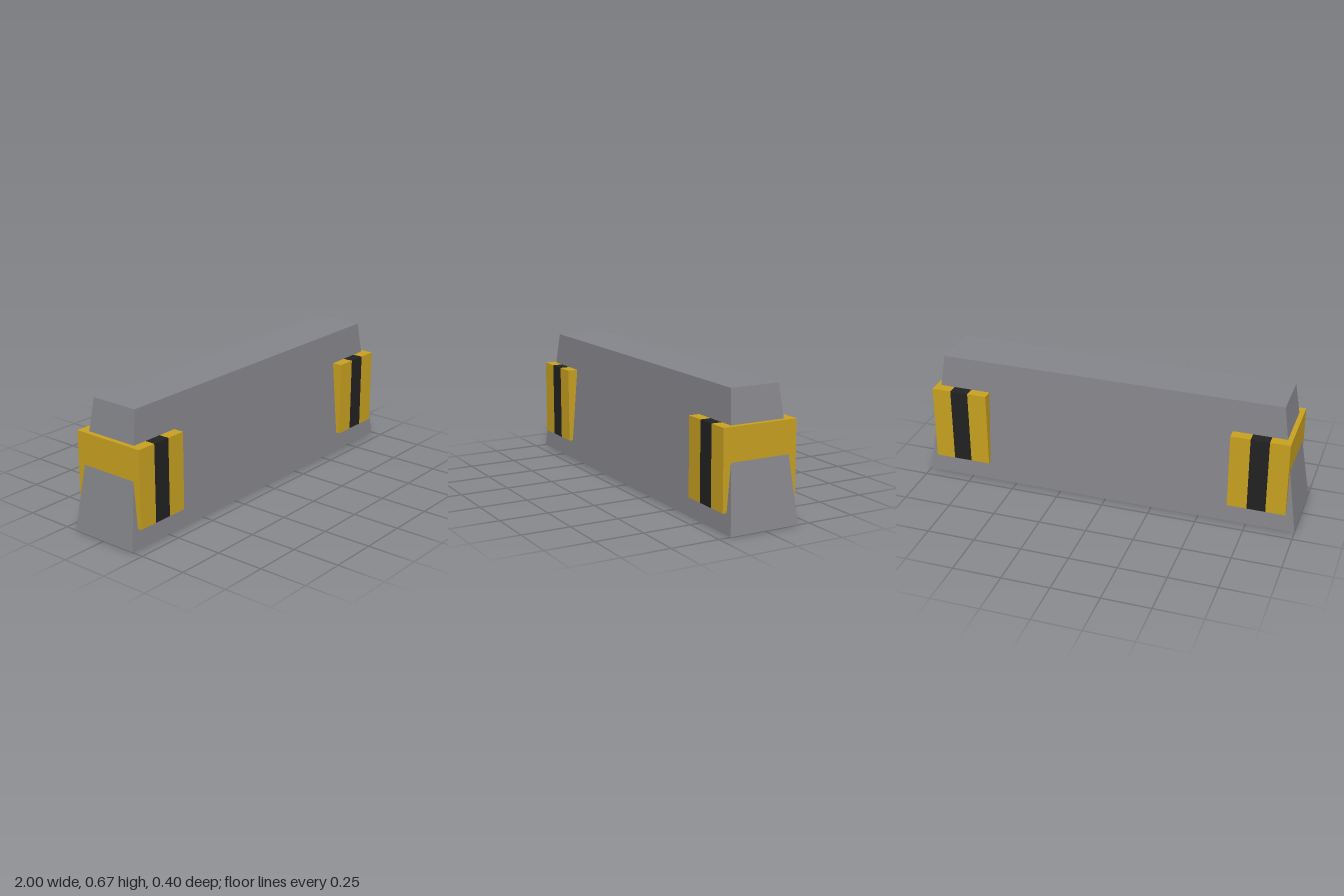
import * as THREE from 'three';

const HEIGHT = 0.667;

export function createModel() {
  const concrete = new THREE.MeshStandardMaterial({ name: 'concrete grey', color: 0x85868b });
  const yellow = new THREE.MeshStandardMaterial({ name: 'warning yellow', color: 0xc9a221 });
  const black = new THREE.MeshStandardMaterial({ name: 'stripe black', color: 0x222222 });
  const model = new THREE.Group();
  model.name = 'roadBarrier';

  // Tapered body: a box whose top corners are pulled inwards
  const bodyGeometry = new THREE.BoxGeometry(2, HEIGHT, 0.375).translate(0, HEIGHT / 2, 0);
  const p = bodyGeometry.attributes.position;
  for (let i = 0; i < p.count; i++) {
    if (p.getY(i) > HEIGHT / 2) {
      p.setX(i, p.getX(i) * 0.9);
      p.setZ(i, p.getZ(i) * 0.7);
    }
  }
  bodyGeometry.computeVertexNormals();
  const body = new THREE.Mesh(bodyGeometry, concrete);
  body.name = 'barrierBody';
  model.add(body);

  // Warning bands wrapped round both ends: yellow, black, yellow
  const slice = (name, x0, x1, material) => {
    const mesh = new THREE.Mesh(new THREE.BoxGeometry(x1 - x0, 0.4, 0.4), material);
    mesh.name = name;
    mesh.position.set((x0 + x1) / 2, 0.3, 0);
    return mesh;
  };
  for (const side of [-1, 1]) {
    const band = new THREE.Group();
    band.name = side > 0 ? 'leftWarningBand' : 'rightWarningBand';
    band.position.x = side * 0.8;
    band.add(
      slice('yellowBandA', -0.15, -0.048, yellow),
      slice('blackStripe', -0.048, 0.048, black),
      slice('yellowBandB', 0.048, 0.15, yellow)
    );
    model.add(band);
  }
  return model;
}
